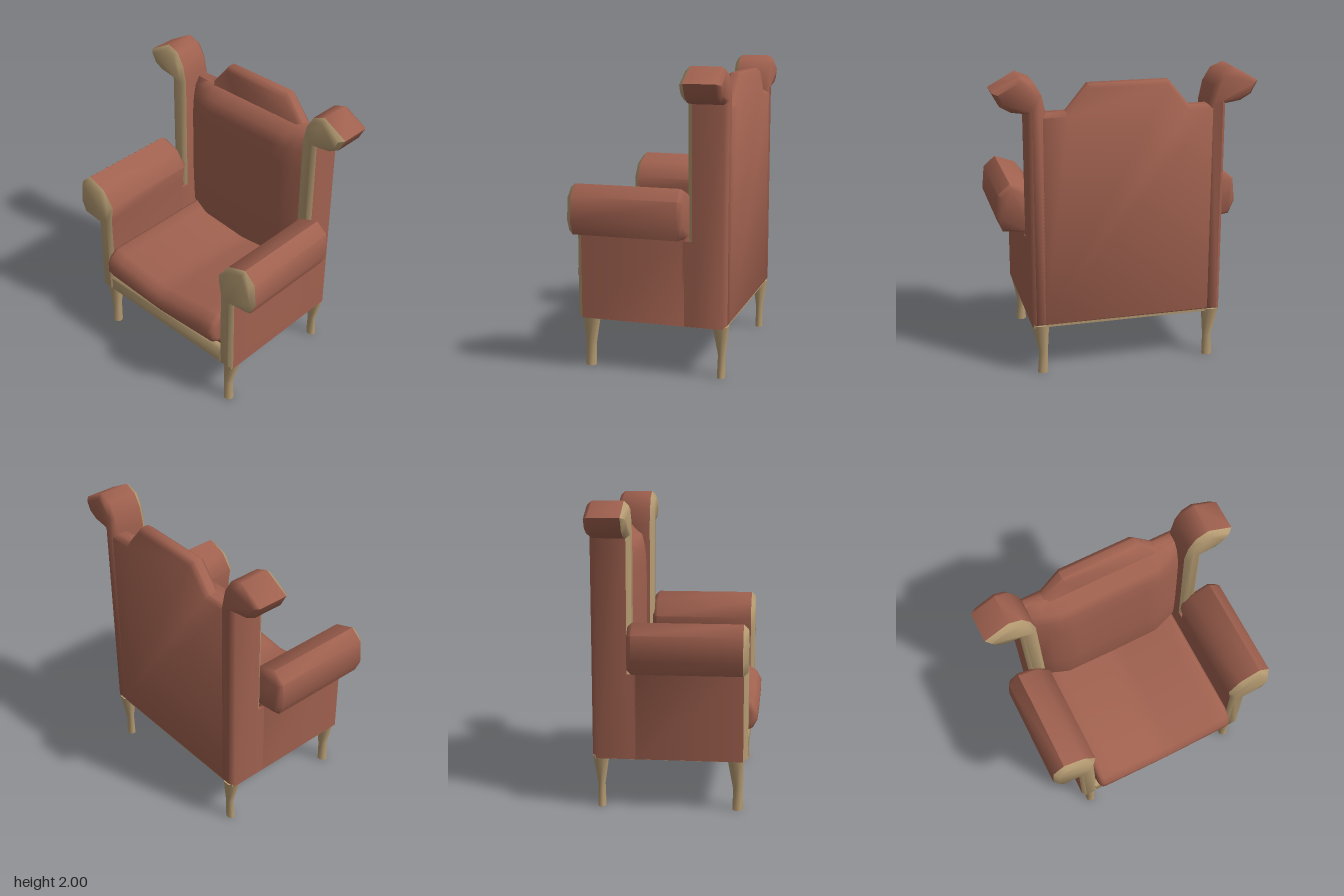
import * as THREE from 'three';
import { toCreasedNormals } from 'three/addons/utils/BufferGeometryUtils.js';

const fabric = new THREE.MeshStandardMaterial({ color: 0xa0614f });
const wood = new THREE.MeshStandardMaterial({ color: 0xb59b72 });
const CREASE = 0.95;

const shapeOf = (pts) => new THREE.Shape(pts.map(([x, y]) => new THREE.Vector2(x, y)));

function addMesh(parent, name, geometry, material, crease = CREASE) {
  const mesh = new THREE.Mesh(toCreasedNormals(geometry, crease), material);
  mesh.name = name;
  parent.add(mesh);
  return mesh;
}

// Outline in x/y, extruded from z0 to z1 with chamfers inside the outline
function slab(pts, z0, z1, chamfer = 0.03, inset = 0.025) {
  const g = new THREE.ExtrudeGeometry(shapeOf(pts), {
    depth: z1 - z0 - 2 * chamfer, bevelThickness: chamfer,
    bevelSize: inset, bevelOffset: -inset, bevelSegments: 1,
  });
  return g.translate(0, 0, z0 + chamfer);
}

// Keeps the triangles in front of (or behind) the plane z = cut
function part(geometry, cut, front) {
  const p = geometry.attributes.position.array;
  const out = [];
  for (let i = 0; i < p.length; i += 9) {
    const inFront = Math.min(p[i + 2], p[i + 5], p[i + 8]) > cut;
    if (inFront === front) out.push(...p.slice(i, i + 9));
  }
  const g = new THREE.BufferGeometry();
  g.setAttribute('position', new THREE.Float32BufferAttribute(out, 3));
  return g;
}

// Upholstered roll with a wooden front face
function facedRoll(parent, name, pts, z0, z1) {
  const group = new THREE.Group();
  group.name = name;
  const g = slab(pts, z0, z1);
  addMesh(group, name + 'Upholstery', part(g, z1 - 0.032, false), fabric);
  addMesh(group, name + 'WoodFace', part(g, z1 - 0.032, true), wood);
  parent.add(group);
}

// Profile in z/y swept across the width, then reshaped by a rule
function cushion(pts, width, chamfer, inset, rule) {
  const g = new THREE.ExtrudeGeometry(shapeOf(pts), {
    depth: width - 2 * chamfer, steps: 12, bevelThickness: chamfer,
    bevelSize: inset, bevelOffset: -inset, bevelSegments: 3,
  });
  g.translate(0, 0, chamfer - width / 2).rotateY(-Math.PI / 2);
  const p = g.attributes.position;
  const v = new THREE.Vector3();
  for (let i = 0; i < p.count; i++) {
    v.fromBufferAttribute(p, i);
    rule(v);
    p.setXYZ(i, v.x, v.y, v.z);
  }
  return g;
}

function box(x0, x1, y0, y1, z0, z1) {
  return new THREE.BoxGeometry(x1 - x0, y1 - y0, z1 - z0)
    .translate((x0 + x1) / 2, (y0 + y1) / 2, (z0 + z1) / 2);
}

// Octagonal leg; levels run top to bottom as [y, x0, x1, z0, z1]
function leg(levels, side) {
  const g = new THREE.CylinderGeometry(1, 1, 2, 8, 2, false, Math.PI / 8);
  const p = g.attributes.position;
  const k = 1 / Math.cos(Math.PI / 8);
  for (let i = 0; i < p.count; i++) {
    const [y, x0, x1, z0, z1] = levels[Math.round(1 - p.getY(i))];
    p.setXYZ(i,
      side * (x0 + x1) / 2 + p.getX(i) * k * (x1 - x0) / 2, y,
      (z0 + z1) / 2 + p.getZ(i) * k * (z1 - z0) / 2);
  }
  return g;
}

export function createModel() {
  const chair = new THREE.Group();
  chair.name = 'wingChair';

  const wing = [[0.525, 0.34], [0.64, 0.34], [0.64, 1.765], [0.74, 1.78], [0.81, 1.82],
    [0.855, 1.905], [0.685, 2], [0.6, 1.965], [0.55, 1.88], [0.525, 1.76]];
  const arm = [[0.525, 0.34], [0.64, 0.34], [0.64, 0.915], [0.78, 0.93], [0.82, 1.02],
    [0.805, 1.18], [0.725, 1.25], [0.585, 1.2], [0.505, 1.09], [0.525, 0.97]];
  const frontLeg = [[0.35, 0.53, 0.64, 0.345, 0.45], [0.15, 0.54, 0.595, 0.38, 0.445],
    [0, 0.54, 0.605, 0.38, 0.445]];
  const backLeg = [[0.35, 0.53, 0.64, -0.53, -0.43], [0.15, 0.54, 0.595, -0.505, -0.46],
    [0, 0.54, 0.605, -0.505, -0.455]];

  // Mirrored parts
  for (const [side, label] of [[1, 'left'], [-1, 'right']]) {
    const mirrored = (pts) => pts.map(([x, y]) => [side * x, y]);
    facedRoll(chair, label + 'Wing', mirrored(wing), -0.53, -0.27);
    facedRoll(chair, label + 'Arm', mirrored(arm), -0.28, 0.477);
    const [a, b] = side > 0 ? [0.525, 0.64] : [-0.64, -0.525];
    addMesh(chair, label + 'SidePanelJoint', box(a, b, 0.34, 0.9, -0.31, -0.24), fabric);
    addMesh(chair, label + 'FrontLeg', leg(frontLeg, side), wood);
    addMesh(chair, label + 'BackLeg', leg(backLeg, side), wood);
  }

  // Back panel with a stepped crest
  const half = [[0.58, 0.34], [0.58, 1.765], [0.4, 1.765], [0.26, 1.937]];
  const backOutline = [...half, ...half.map(([x, y]) => [-x, y]).reverse()];
  addMesh(chair, 'backPanel', slab(backOutline, -0.53, -0.42), fabric);

  // Back cushion, fuller towards the middle
  addMesh(chair, 'backCushion', cushion(
    [[-0.48, 0.5], [-0.4, 0.55], [-0.4, 0.66], [-0.375, 0.75], [-0.365, 1.0], [-0.365, 1.5],
      [-0.375, 1.62], [-0.395, 1.71], [-0.43, 1.765], [-0.48, 1.765]],
    1.05, 0.002, 0.001, (v) => {
      if (v.z > -0.42) v.z += 0.065 * Math.min(1, (0.525 - Math.abs(v.x)) / 0.17);
    }), fabric);

  // Seat cushion, dipping along its centre
  addMesh(chair, 'seatCushion', cushion(
    [[-0.42, 0.5], [0.44, 0.5], [0.5, 0.53], [0.53, 0.58], [0.53, 0.64], [0.5, 0.7],
      [0.44, 0.74], [-0.42, 0.74]],
    1.04, 0.04, 0.035, (v) => {
      const middle = 1 - Math.min(1, Math.abs(v.x) / 0.48);
      v.y -= middle * (v.y > 0.62 ? 0.065 : 0.025);
    }), fabric);

  // Seat frame
  addMesh(chair, 'seatBase', box(-0.54, 0.54, 0.35, 0.52, -0.48, 0.43), fabric);
  addMesh(chair, 'frontRail', slab(
    [[-0.56, 0.34], [0.56, 0.34], [0.56, 0.478], [-0.56, 0.478]], 0.38, 0.472), wood);
  addMesh(chair, 'undersidePanel', box(-0.63, 0.63, 0.336, 0.36, -0.515, 0.455), wood);

  return chair;
}
